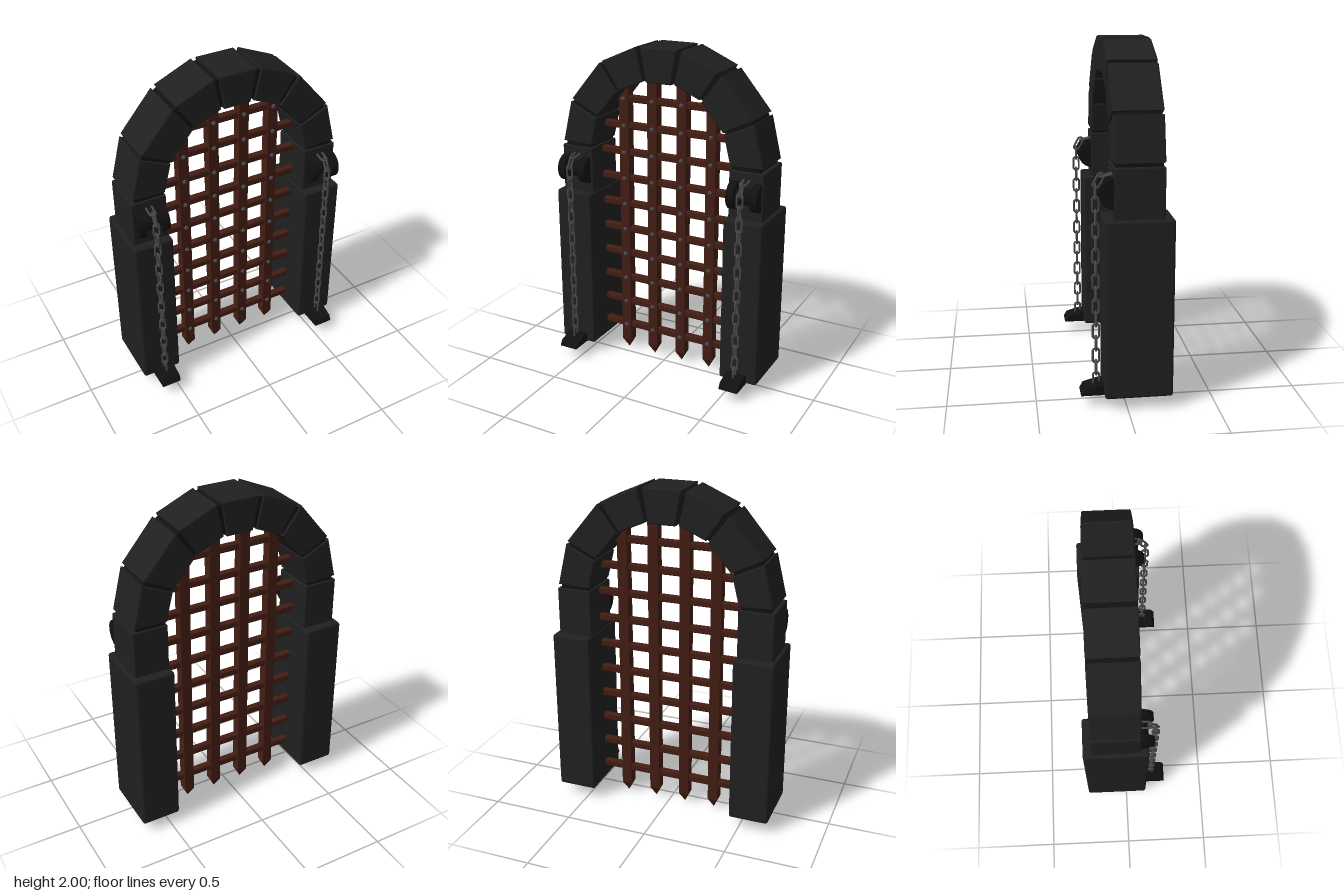
import * as THREE from 'three';
import { RoundedBoxGeometry } from 'three/addons/geometries/RoundedBoxGeometry.js';

const mat = (color, flatShading = false) => new THREE.MeshStandardMaterial({ color, flatShading });
const stone = mat(0x202020);
const darkStone = mat(0x111111);
const bark = mat(0x431d13, true);
const iron = mat(0x4a4a4a);

function add(parent, name, geometry, material, x = 0, y = 0, z = 0) {
  const mesh = new THREE.Mesh(geometry, material);
  mesh.name = name;
  mesh.position.set(x, y, z);
  parent.add(mesh);
  return mesh;
}

// Stone prism in the xy plane running from z0 to z1, with small bevels
function prism(points, z0, z1, bevel) {
  const shape = new THREE.Shape(points.map(([x, y]) => new THREE.Vector2(x, y)));
  const g = new THREE.ExtrudeGeometry(shape, {
    depth: z1 - z0 - 2 * bevel, bevelEnabled: bevel > 0,
    bevelThickness: bevel, bevelSize: bevel, bevelOffset: -bevel, bevelSegments: 1,
  });
  return g.translate(0, 0, z0 + bevel);
}

// Wedge of the arch; angles in degrees from the crown
const ARCH_Y = 1.36;
function wedge(a0, a1, inner, outer, z0, z1, bevel) {
  const p = (a, r) => {
    const t = THREE.MathUtils.degToRad(a);
    return [Math.sin(t) * r, ARCH_Y + Math.cos(t) * r];
  };
  return prism([p(a0, inner), p(a0, outer), p(a1, outer), p(a1, inner)], z0, z1, bevel);
}

function buildArch() {
  const arch = new THREE.Group();
  arch.name = 'arch';
  add(arch, 'keystone', wedge(-10.3, 10.3, 0.447, 0.65, -0.2, 0.075, 0.006), stone);
  const spans = [[12.8, 34.5], [36.7, 63.2], [65, 87.5]];
  const joints = [[9, 14], [33, 38], [62, 66.5], [86, 91]];
  for (const s of [-1, 1]) {
    for (const [a, b] of spans)
      add(arch, 'archStone', wedge(s * a, s * b, 0.455, 0.653, -0.2, 0.075, 0.006), stone);
    for (const [a, b] of joints)
      add(arch, 'mortarJoint', wedge(s * a, s * b, 0.465, 0.635, -0.19, 0.065, 0), darkStone);
  }
  return arch;
}

function buildGrate() {
  const grate = new THREE.Group();
  grate.name = 'grate';
  const z = -0.06;
  const rows = Array.from({ length: 10 }, (_, i) => 0.175 + i * 0.1655);
  for (const x of [-0.288, -0.097, 0.097, 0.288]) {
    const top = Math.abs(x) > 0.2 ? 1.78 : 1.82;
    add(grate, 'uprightBar', new THREE.BoxGeometry(0.062, top - 0.065, 0.062), bark, x, (top + 0.065) / 2, z);
    const spike = new THREE.ConeGeometry(0.031 * Math.SQRT2, 0.065, 4).rotateX(Math.PI).rotateY(Math.PI / 4);
    add(grate, 'spike', spike, bark, x, 0.0325, z);
    for (const y of rows)
      add(grate, 'rivet', new THREE.SphereGeometry(0.014, 10, 6), iron, x, y, z + 0.031);
  }
  for (const y of rows)
    add(grate, 'crossBar', new RoundedBoxGeometry(0.91, 0.042, 0.042, 1, 0.008), bark, 0, y, z);
  return grate;
}

// Oval link: a ring whose halves are pulled apart along y
function linkGeometry() {
  const g = new THREE.TorusGeometry(0.018, 0.0065, 6, 12).rotateZ(Math.PI / 12);
  const p = g.attributes.position;
  for (let i = 0; i < p.count; i++) p.setY(i, p.getY(i) + Math.sign(p.getY(i)) * 0.025);
  return g;
}

function buildChain(x) {
  const chain = new THREE.Group();
  chain.name = 'chain';
  const link = linkGeometry();
  for (let i = 0; i < 16; i++) {
    const m = add(chain, 'chainLink', link, iron, x, 0.142 + i * 0.072, 0.165);
    m.rotation.y = i % 2 ? 0 : Math.PI / 2;
  }
  // Last links bend over the spool into the wall
  const tilted = add(chain, 'chainLink', link, iron, x, 1.282, 0.148);
  tilted.rotation.set(-0.5, Math.PI / 2, 0);
  const flat = add(chain, 'chainLink', link, iron, x, 1.313, 0.098);
  flat.rotation.x = -1.35;
  return chain;
}

function buildSide(s) {
  const side = new THREE.Group();
  side.name = s > 0 ? 'leftSide' : 'rightSide';
  const x = s * 0.558;
  add(side, 'pillar', new RoundedBoxGeometry(0.24, 1.015, 0.38, 2, 0.015), stone, s * 0.562, 0.578, -0.063);
  add(side, 'upperBlock', new RoundedBoxGeometry(0.21, 0.3, 0.275, 2, 0.008), stone, s * 0.555, 1.215, -0.0625);

  // Chain spool: narrow core between two discs
  const core = new THREE.CylinderGeometry(0.05, 0.05, 0.15, 20).rotateZ(Math.PI / 2);
  add(side, 'spoolCore', core, darkStone, x, 1.225, 0.072);
  for (const d of [-1, 1]) {
    const disc = new THREE.CylinderGeometry(0.083, 0.083, 0.044, 24).rotateZ(Math.PI / 2);
    add(side, 'spoolDisc', disc, darkStone, x + d * 0.07, 1.225, 0.072);
  }

  // Sloping foot that anchors the chain
  const foot = prism([[-0.1, 0.07], [-0.255, 0.07], [-0.237, 0.105], [-0.15, 0.13], [-0.1, 0.13]], -0.061, 0.061, 0.003);
  add(side, 'chainFoot', foot.rotateY(Math.PI / 2), darkStone, x);

  side.add(buildChain(x));
  return side;
}

export function createModel() {
  const model = new THREE.Group();
  model.name = 'portcullisGate';
  model.add(buildArch(), buildGrate(), buildSide(-1), buildSide(1));
  return model;
}
